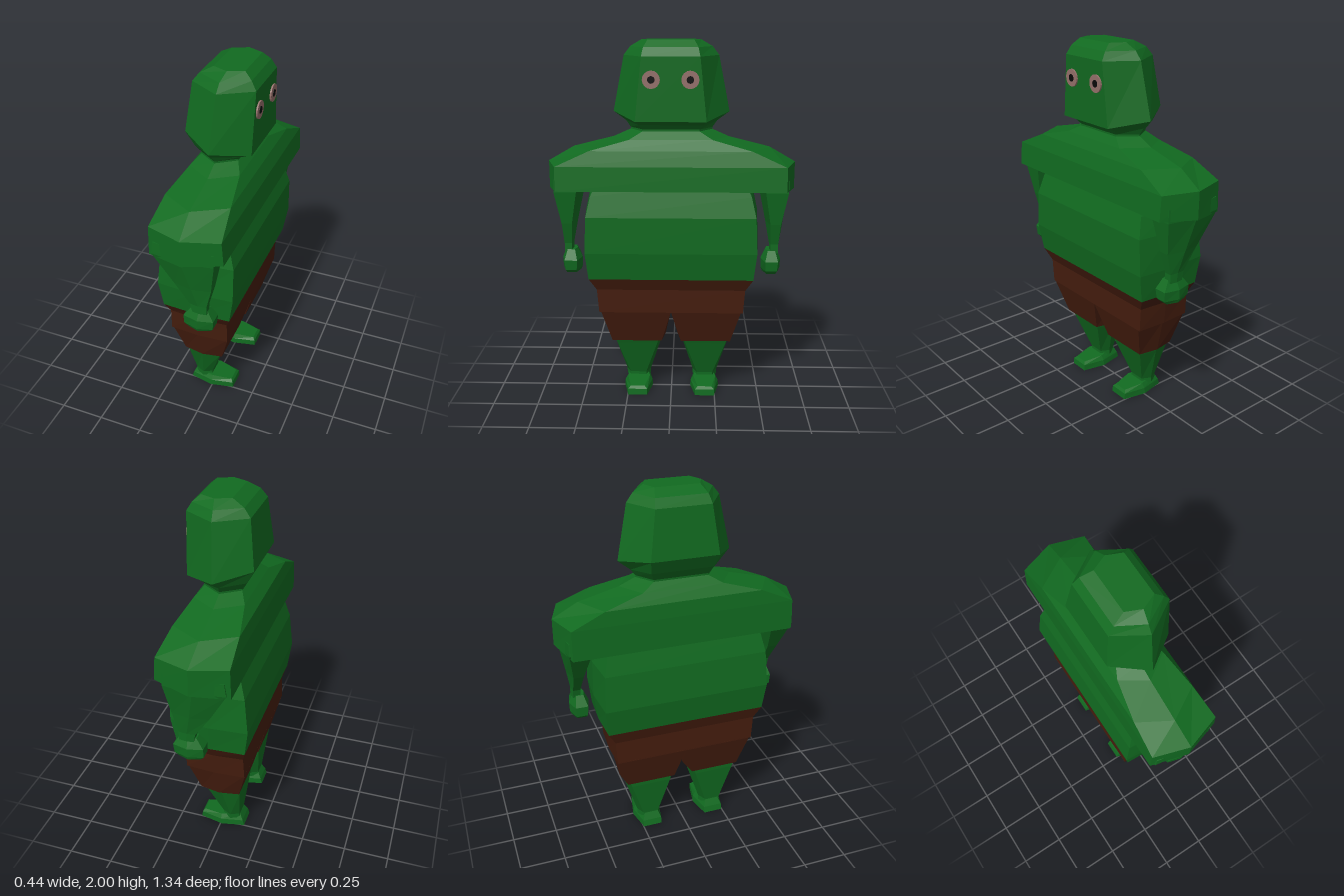
import * as THREE from 'three';

const material = (color) => new THREE.MeshStandardMaterial({ color, flatShading: true });
const skin = material(0x116a20);
const cloth = material(0x451d0e);
const eyeTone = material(0x94706a);
const dark = material(0x0a0808);

// Six-sided ring: straight front and back edges, pointed flanks.
// y height, xb/xf back and front, corner/tip half widths in z, lift raises the front edge.
function ring([y, xb, xf, corner, tip, lift = 0], zc) {
  const xm = (xb + xf) / 2;
  return [
    [xf, y + lift, zc - corner], [xm, y + lift / 2, zc - tip], [xb, y, zc - corner],
    [xb, y, zc + corner], [xm, y + lift / 2, zc + tip], [xf, y + lift, zc + corner],
  ];
}

// Faceted skin over rings listed from bottom to top, closed at both ends.
function loft(name, rows, mat, zc = 0) {
  const pos = rows.flatMap((r) => ring(r, zc)).flat();
  const index = [];
  const last = (rows.length - 1) * 6;
  for (let i = 0; i < last; i += 6) {
    for (let j = 0; j < 6; j++) {
      const k = (j + 1) % 6;
      index.push(i + j, i + k, i + 6 + k, i + j, i + 6 + k, i + 6 + j);
    }
  }
  for (let j = 1; j < 5; j++) {
    index.push(0, j + 1, j, last, last + j, last + j + 1);
  }
  const geo = new THREE.BufferGeometry();
  geo.setAttribute('position', new THREE.Float32BufferAttribute(pos, 3));
  geo.setIndex(index);
  const flat = geo.toNonIndexed();
  flat.computeVertexNormals();
  const mesh = new THREE.Mesh(flat, mat);
  mesh.name = name;
  return mesh;
}

function eye(side) {
  const group = new THREE.Group();
  group.name = 'eye';
  const disc = (name, radius, depth, mat) => {
    const mesh = new THREE.Mesh(new THREE.CylinderGeometry(radius, radius, depth, 16), mat);
    mesh.rotation.z = -Math.PI / 2;
    mesh.name = name;
    group.add(mesh);
  };
  disc('iris', 0.046, 0.02, eyeTone);
  disc('pupil', 0.019, 0.024, dark);
  group.position.set(0.194, 1.805, side * 0.1);
  return group;
}

export function createModel() {
  const model = new THREE.Group();
  model.name = 'figure';

  model.add(
    loft('head', [
      [1.5, -0.09, 0.11, 0.15, 0.22],
      [1.54, -0.09, 0.11, 0.15, 0.22],
      [1.585, -0.12, 0.13, 0.17, 0.245, -0.02],
      [1.66, -0.16, 0.192, 0.185, 0.31, -0.07],
      [1.92, -0.13, 0.197, 0.15, 0.25],
      [1.965, -0.095, 0.17, 0.14, 0.215],
      [2.0, -0.03, 0.13, 0.12, 0.155],
    ], skin),
    // Wide shoulder mass overhanging the torso
    loft('shoulders', [
      [1.25, -0.14, 0.16, 0.4, 0.44],
      [1.19, -0.18, 0.215, 0.61, 0.67, 0.035],
      [1.355, -0.175, 0.205, 0.61, 0.67],
      [1.435, -0.165, 0.18, 0.43, 0.53],
      [1.49, -0.125, 0.145, 0.22, 0.31],
      [1.53, -0.09, 0.11, 0.15, 0.22],
    ], skin),
    loft('torso', [
      [0.725, -0.2, 0.18, 0.45, 0.46],
      [0.88, -0.22, 0.205, 0.465, 0.48],
      [1.08, -0.2, 0.205, 0.455, 0.475],
      [1.19, -0.17, 0.175, 0.43, 0.45],
      [1.28, -0.14, 0.15, 0.39, 0.41],
    ], skin),
    loft('shortsWaist', [
      [0.52, -0.185, 0.148, 0.4, 0.41],
      [0.655, -0.18, 0.15, 0.41, 0.425],
      [0.725, -0.2, 0.18, 0.45, 0.46],
    ], cloth),
  );

  for (const side of [1, -1]) {
    model.add(eye(side));

    // Tapered arm: each segment shifts its centre outward with its own ring
    const arm = new THREE.Group();
    arm.name = 'arm';
    arm.add(
      loft('armLimb', [
        [0.86, 0.03, 0.11, 0.02, 0.025],
        [0.91, 0.02, 0.11, 0.02, 0.026],
        [1.03, -0.06, 0.14, 0.028, 0.048],
        [1.21, -0.16, 0.17, 0.06, 0.085],
        [1.28, -0.15, 0.17, 0.06, 0.085],
      ], skin, side * 0.565),
      loft('hand', [
        [0.745, 0.0, 0.12, 0.025, 0.045],
        [0.765, -0.02, 0.14, 0.03, 0.053],
        [0.82, -0.02, 0.145, 0.035, 0.055],
        [0.875, 0.02, 0.11, 0.02, 0.03],
      ], skin, side * 0.55),
    );

    const leg = new THREE.Group();
    leg.name = 'leg';
    leg.add(
      loft('shortsLeg', [
        [0.325, -0.135, 0.09, 0.14, 0.16],
        [0.525, -0.185, 0.148, 0.195, 0.205],
      ], cloth, side * 0.195),
      loft('shin', [
        [0.05, -0.11, -0.01, 0.045, 0.07],
        [0.08, -0.11, -0.01, 0.045, 0.07],
        [0.3, -0.13, 0.065, 0.115, 0.138],
        [0.34, -0.13, 0.08, 0.125, 0.15],
      ], skin, side * 0.195),
      loft('foot', [
        [0, -0.14, 0.125, 0.055, 0.083],
        [0.035, -0.13, 0.122, 0.055, 0.08],
        [0.075, -0.11, 0.11, 0.04, 0.065, -0.025],
      ], skin, side * 0.193),
    );
    model.add(arm, leg);
  }
  return model;
}
